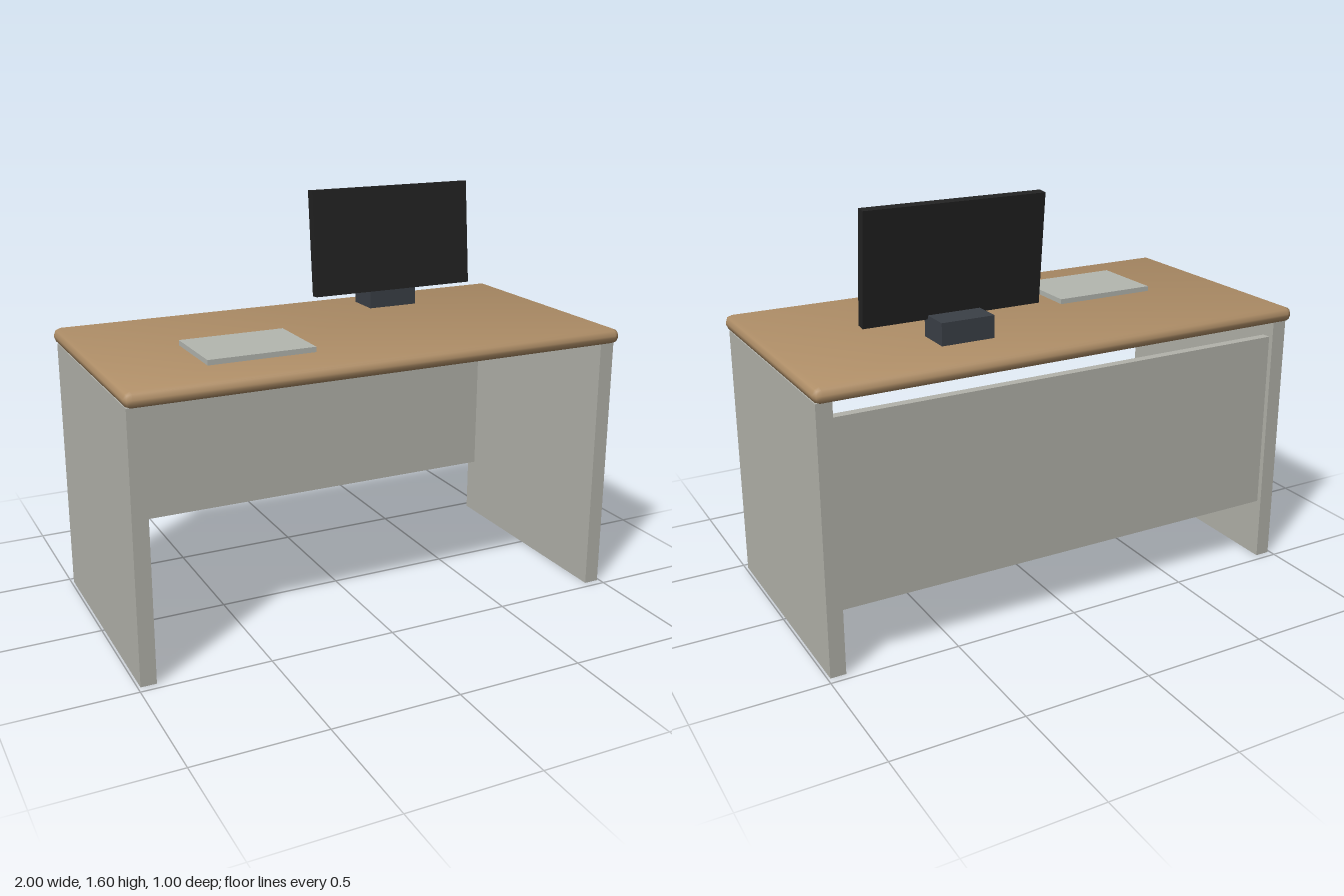
import * as THREE from 'three';
import { mergeVertices } from 'three/addons/utils/BufferGeometryUtils.js';
import { RoundedBoxGeometry } from 'three/addons/geometries/RoundedBoxGeometry.js';

const mat = (name, color) => {
  const m = new THREE.MeshStandardMaterial({ color });
  m.name = name;
  return m;
};

// Box given by its min and max corner
function box(name, min, max, material) {
  const size = max.map((v, i) => v - min[i]);
  const mesh = new THREE.Mesh(new THREE.BoxGeometry(...size), material);
  mesh.position.set(...max.map((v, i) => (v + min[i]) / 2));
  mesh.name = name;
  return mesh;
}

// Bevelled slab shaded smoothly across its edges, normals weighted by corner angle
function smoothSlab(w, h, d, radius) {
  let geo = new RoundedBoxGeometry(w, h, d, 1, radius);
  geo.deleteAttribute('normal');
  geo.deleteAttribute('uv');
  geo.clearGroups();
  geo = mergeVertices(geo, 1e-4);
  const pos = geo.attributes.position;
  const sums = Array.from({ length: pos.count }, () => new THREE.Vector3());
  const idx = geo.index.array;
  for (let i = 0; i < idx.length; i += 3) {
    const ids = [idx[i], idx[i + 1], idx[i + 2]];
    const p = ids.map((k) => new THREE.Vector3().fromBufferAttribute(pos, k));
    const n = new THREE.Triangle(...p).getNormal(new THREE.Vector3());
    ids.forEach((k, c) => {
      const a = p[(c + 1) % 3].clone().sub(p[c]);
      const b = p[(c + 2) % 3].clone().sub(p[c]);
      if (a.lengthSq() > 0 && b.lengthSq() > 0) sums[k].addScaledVector(n, a.angleTo(b));
    });
  }
  const normals = sums.flatMap((v) => v.normalize().toArray());
  geo.setAttribute('normal', new THREE.Float32BufferAttribute(normals, 3));
  return geo;
}

export function createModel() {
  const desk = new THREE.Group();
  desk.name = 'desk';
  const wood = mat('wood', 0xb08f68);
  const panelGrey = mat('panel grey', 0xb3b3ab);
  const paperGrey = mat('pad grey', 0xb4b7b0);
  const black = mat('monitor black', 0x222222);
  const slate = mat('stand slate', 0x3b4047);

  // Desk top
  const top = new THREE.Mesh(smoothSlab(2, 0.06, 1, 0.026), wood);
  top.position.y = 1.06;
  top.name = 'deskTop';
  desk.add(top);

  // Side panels and the back panel between them
  desk.add(box('leftSidePanel', [0.93, 0, -0.47], [0.99, 1.03, 0.47], panelGrey));
  desk.add(box('rightSidePanel', [-0.99, 0, -0.47], [-0.93, 1.03, 0.47], panelGrey));
  desk.add(box('backPanel', [-0.93, 0.245, -0.45], [0.93, 0.965, -0.415], panelGrey));

  // Writing pad
  desk.add(box('pad', [-0.64, 1.09, -0.015], [-0.22, 1.11, 0.295], paperGrey));

  // Monitor: stand and a screen leaning back
  const monitor = new THREE.Group();
  monitor.name = 'monitor';
  monitor.add(box('stand', [0.25, 1.105, -0.327], [0.46, 1.19, -0.187], slate));
  const screen = new THREE.Mesh(new THREE.BoxGeometry(0.71, 0.425, 0.04), black);
  screen.position.set(0.355, 1.388, -0.214);
  screen.rotation.x = -0.1;
  screen.name = 'screen';
  monitor.add(screen);
  desk.add(monitor);

  return desk;
}
